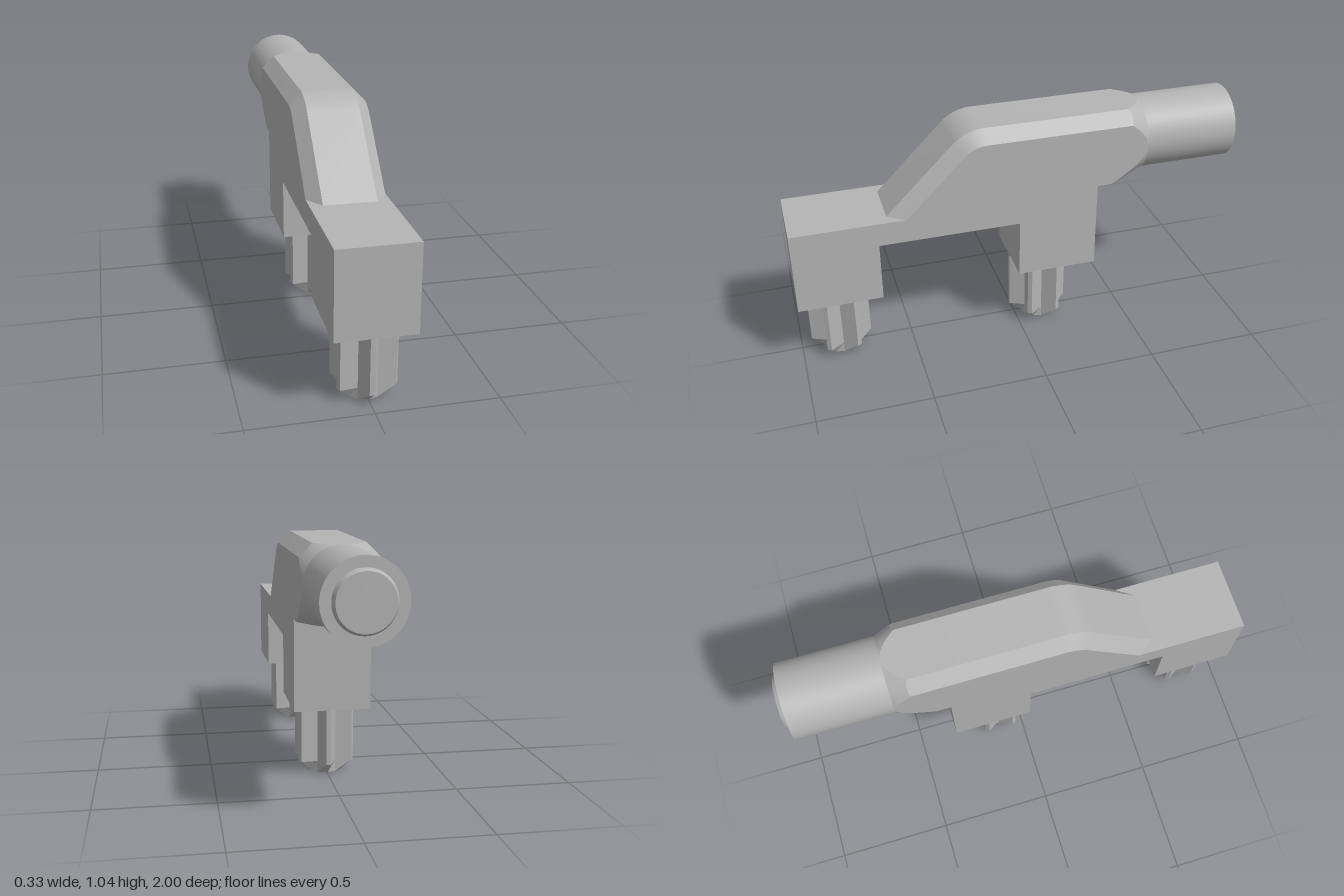
import * as THREE from 'three';
import { toCreasedNormals } from 'three/addons/utils/BufferGeometryUtils.js';

const W = 0.163;      // half width, also the bar radius
const AXIS = 0.877;   // height of the bar axis
const REAR = -0.335;  // back of the rear leg

// Skin closed rings of [x, y, z] points, optionally closing the ends with fans.
function loft(rings, capStart = false, capEnd = false) {
  const pos = [];
  const tri = (a, b, c) => pos.push(...a, ...b, ...c);
  const n = rings[0].length;
  const centre = (ring) => [0, 1, 2].map((k) => ring.reduce((s, p) => s + p[k], 0) / n);
  for (let i = 0; i < rings.length - 1; i++) {
    for (let j = 0; j < n; j++) {
      const k = (j + 1) % n;
      const a = rings[i][j], b = rings[i][k], c = rings[i + 1][k], d = rings[i + 1][j];
      tri(a, b, c);
      tri(a, c, d);
    }
  }
  const first = rings[0], last = rings[rings.length - 1];
  for (let j = 0; j < n; j++) {
    const k = (j + 1) % n;
    if (capStart) tri(centre(first), first[k], first[j]);
    if (capEnd) tri(last[j], last[k], centre(last));
  }
  const geo = new THREE.BufferGeometry();
  geo.setAttribute('position', new THREE.Float32BufferAttribute(pos, 3));
  return toCreasedNormals(geo, 0.35);
}

// Shoulder curve in (z, y): a 45 degree slope rounded into the flat top.
function shoulder(radius) {
  const cz = 0.16, cy = 0.85, foot = 0.69;
  const pts = [[cz + cy + radius * Math.SQRT2 - foot, foot]];
  for (let i = 0; i <= 10; i++) {
    const a = (Math.PI / 4) * (1 + i / 10);
    pts.push([cz + radius * Math.cos(a), cy + radius * Math.sin(a)]);
  }
  pts.push([REAR, cy + radius]);
  return pts;
}

// Six-toothed peg, tapering at the tip.
function pegGeometry() {
  const ring = (y, limit) => {
    const pts = [];
    for (let i = 0; i < 6; i++) {
      const t = (i * Math.PI) / 3;
      for (const [r, da] of [[0.08, -Math.PI / 6], [0.135, -0.075], [0.135, 0.075]]) {
        const q = Math.min(r, limit);
        pts.push([q * Math.sin(t + da), y, q * Math.cos(t + da)]);
      }
    }
    return pts;
  };
  return loft([ring(0, 0.08), ring(0.05, 1), ring(0.32, 1)], true, false);
}

export function createModel() {
  const group = new THREE.Group();
  const grey = new THREE.MeshStandardMaterial({ color: 0xb4b4b4 });
  grey.name = 'grey';
  const add = (name, geo) => {
    const mesh = new THREE.Mesh(geo, grey);
    mesh.name = name;
    group.add(mesh);
    return mesh;
  };

  // Body with two legs, extruded across the width
  const side = shoulder(0.135), top = shoulder(0.19);
  const outline = [
    [REAR, 0.32], [0.02, 0.32], [0.02, 0.585], [0.635, 0.585],
    [0.635, 0.32], [1, 0.32], [1, 0.69], ...side,
  ];
  const shape = new THREE.Shape(outline.map(([z, y]) => new THREE.Vector2(z, y)));
  const body = new THREE.ExtrudeGeometry(shape, { depth: 2 * W, bevelEnabled: false });
  body.rotateY(-Math.PI / 2).translate(W, 0, 0);
  add('body', body);

  // Chamfered ridge following the shoulder
  add('ridge', loft(top.map(([tz, ty], i) => {
    const [sz, sy] = side[i];
    return [[-W, sy, sz], [-0.11, ty, tz], [0.11, ty, tz], [W, sy, sz]];
  })));

  // Cross-section of the neck around the bar axis
  const corners = [[-0.11, W], [0.11, W], [W, 0.108], [W, -W], [-W, -W], [-W, 0.108]];
  const section = [];
  corners.forEach(([x, y], i) => {
    const [nx, ny] = corners[(i + 1) % corners.length];
    for (let s = 0; s < 12; s++) section.push([x + ((nx - x) * s) / 12, y + ((ny - y) * s) / 12]);
  });
  const circle = (r, z) => section.map(([x, y]) => {
    const k = r / Math.hypot(x, y);
    return [x * k, AXIS + y * k, z];
  });

  // Neck, cut by a cone where it meets the round bar
  const start = section.map(([x, y]) => [x, AXIS + y, REAR]);
  const cut = section.map(([x, y]) => [x, AXIS + y, -0.56 + (Math.hypot(x, y) - W) / 0.42]);
  add('neck', loft([start, cut]));
  add('neckCone', loft([cut, circle(W, -0.562)]));

  // Round bar and its raised end disc
  add('bar', loft([circle(W, -0.562), circle(W, -0.978)], false, true));
  add('endDisc', loft([circle(0.122, -0.975), circle(0.11, -1)], false, true));

  // Pegs under both legs
  const peg = pegGeometry();
  add('frontPeg', peg).position.z = 0.82;
  add('rearPeg', peg).position.z = -0.112;

  return group;
}
